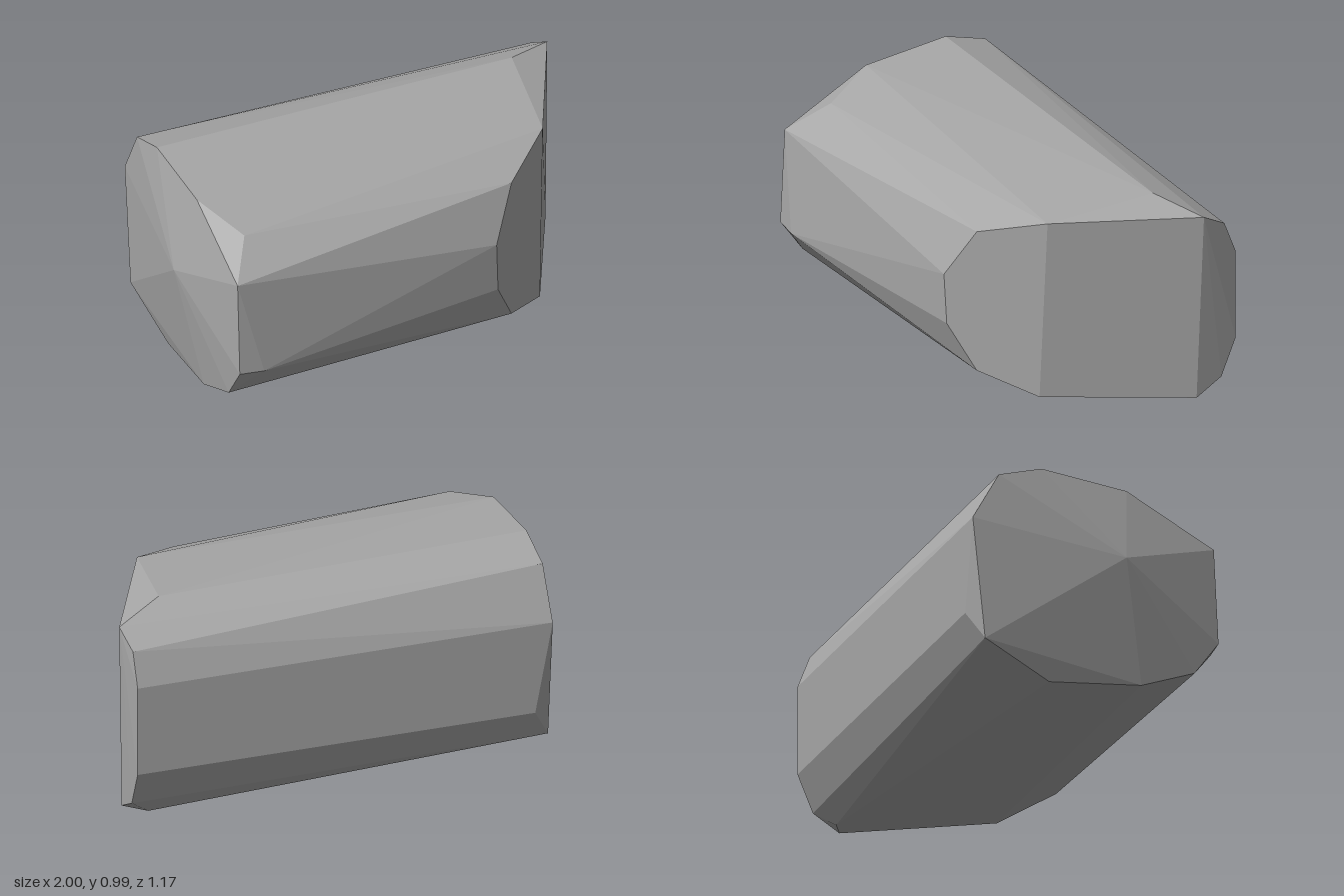
import * as THREE from 'three';
import { ConvexGeometry } from 'three/addons/geometries/ConvexGeometry.js';

export function createModel() {
  const group = new THREE.Group();
  group.name = 'facetedBlock';
  const grey = new THREE.MeshStandardMaterial({ color: 0xa6a6a6, flatShading: true });
  grey.name = 'stone grey';

  // pointed end: shallow apex and the ring around it
  const pointedEnd = [
    [-1, 0.6, 0.1],
    [-0.91, 0.76, 0.55], [-0.8, 0.89, 0.385], [-0.91, 0.96, 0.14],
    [-0.91, 0.99, -0.26], [-0.91, 0.925, -0.46], [-0.91, 0.7, -0.583],
    [-0.83, 0.28, -0.583], [-0.91, 0.14, -0.525], [-0.88, 0.005, -0.21],
    [-0.91, 0.055, 0.21], [-0.91, 0.16, 0.46], [-0.91, 0.32, 0.572],
    [-0.8, 0.315, 0.585],
  ];
  // slanted end: corners of the oblique cut and the narrow back bevel
  const slantedEnd = [
    [0.335, 0.6, 0.515], [0.345, 0.365, 0.507],
    [0.45, 0.83, 0.42], [0.45, 0.16, 0.42],
    [0.695, 0.92, 0.215], [0.67, 0.08, 0.24],
    [0.775, 0.975, -0.265], [1, 0.923, -0.385], [0.98, 0.05, -0.36],
    [0.88, 0.035, -0.42], [0.98, 0.855, -0.5], [0.98, 0.705, -0.557],
    [0.98, 0.29, -0.557], [0.98, 0.12, -0.485],
  ];
  const points = [...pointedEnd, ...slantedEnd].map((p) => new THREE.Vector3(...p));

  const block = new THREE.Mesh(new ConvexGeometry(points), grey);
  block.name = 'block';
  group.add(block);
  return group;
}
